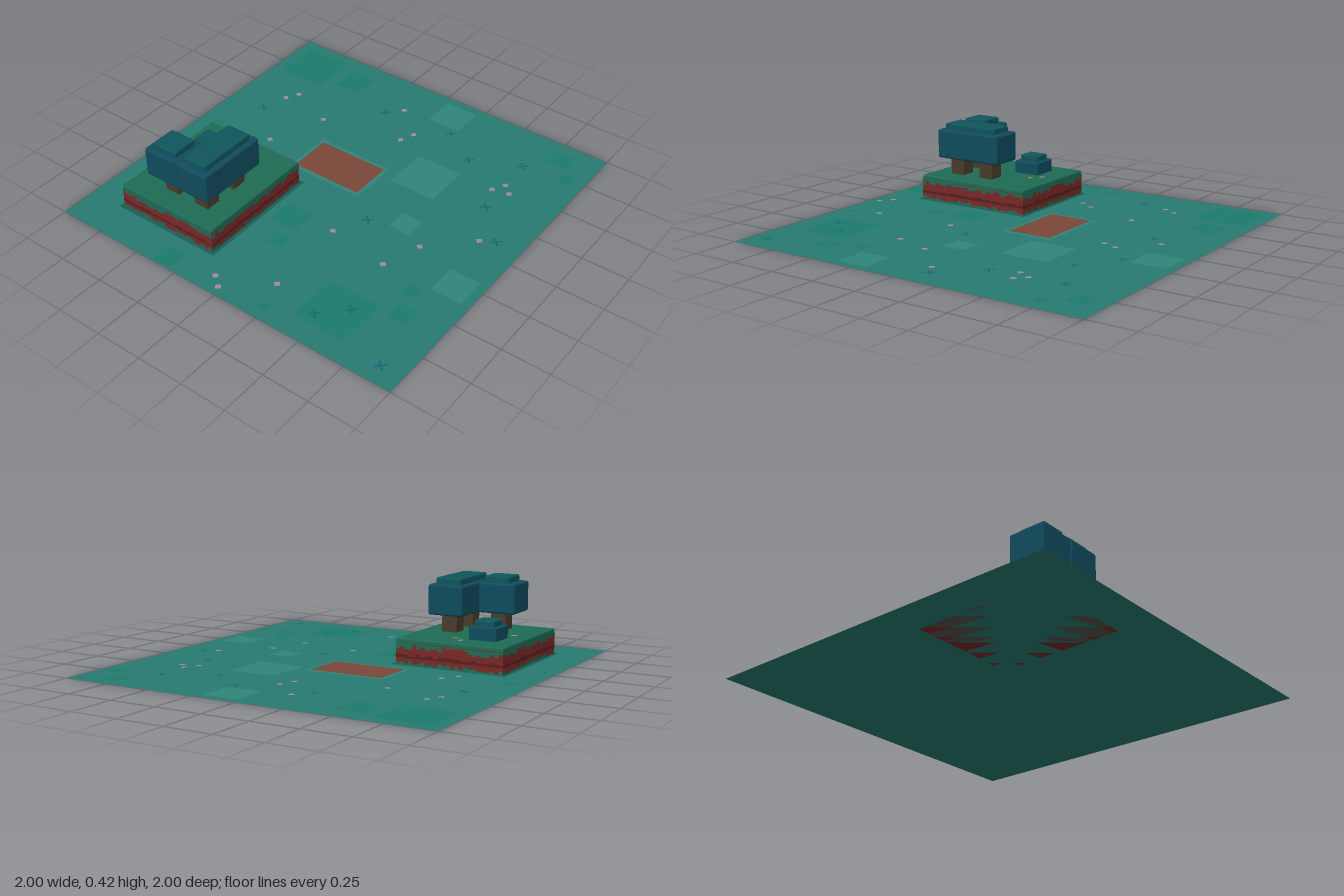
import * as THREE from 'three';
import { RoundedBoxGeometry } from 'three/addons/geometries/RoundedBoxGeometry.js';

const mat = (color, side = THREE.FrontSide) => new THREE.MeshStandardMaterial({ color, side });
const M = {
  ground: mat(0x287b72, THREE.DoubleSide), moss: mat(0x1c7a6c), pale: mat(0x30857a),
  rim: mat(0x338479), soil: mat(0x7a4838), shade: mat(0x1c5f58),
  turf: mat(0x1f6b55), earth: mat(0x7a2826), darkEarth: mat(0x551f20),
  leaf: mat(0x104c5e), leafTop: mat(0x10555c), bark: mat(0x4a3b2b),
  petal: mat(0xa08a98), orange: mat(0xb07a40), sprig: mat(0x1a6670),
};

// Axis-aligned block given by its min / max extents, optionally with softened edges
function block(name, material, [x0, x1], [y0, y1], [z0, z1], r = 0) {
  const w = x1 - x0, h = y1 - y0, d = z1 - z0;
  const geo = r ? new RoundedBoxGeometry(w, h, d, 2, r) : new THREE.BoxGeometry(w, h, d);
  const mesh = new THREE.Mesh(geo, material);
  mesh.name = name;
  mesh.position.set((x0 + x1) / 2, (y0 + y1) / 2, (z0 + z1) / 2);
  return mesh;
}

// Flat patch lying on a surface
function patch(name, material, x, z, w, d, y = 0.001, turn = 0) {
  const mesh = new THREE.Mesh(new THREE.PlaneGeometry(w, d).rotateX(-Math.PI / 2), material);
  mesh.name = name;
  mesh.position.set(x, y, z);
  mesh.rotation.y = turn;
  return mesh;
}

function seeded(seed) {
  return () => (seed = (seed * 16807) % 2147483647) / 2147483647;
}

// Stepped grass edge: straight at yEdge, ragged around yRag
function fringe(length, yEdge, yRag, amount, rand) {
  const shape = new THREE.Shape();
  const n = Math.round(length / 0.024);
  shape.moveTo(-length / 2, yEdge);
  for (let i = 0; i < n; i++) {
    const y = yRag + (rand() - 0.5) * amount;
    shape.lineTo(-length / 2 + (i * length) / n, y);
    shape.lineTo(-length / 2 + ((i + 1) * length) / n, y);
  }
  shape.lineTo(length / 2, yEdge);
  return new THREE.ShapeGeometry(shape);
}

function createGround() {
  const g = new THREE.Group();
  g.name = 'ground';
  g.add(patch('groundSheet', M.ground, 0, 0, 2, 2, 0));
  // mossy and pale squares
  const moss = [[0.8, -0.8, 0.28], [0.81, -0.52, 0.16], [-0.74, 0.52, 0.28], [-0.35, -0.06, 0.15],
    [-0.93, -0.35, 0.11], [-0.58, 0.78, 0.1], [0.87, 0.79, 0.11], [0.03, -0.89, 0.07],
    [-0.43, 0.72, 0.07], [-0.52, 0, 0.09], [0.73, 0.9, 0.07], [-0.92, 0.23, 0.05]];
  for (const [x, z, s] of moss) g.add(patch('mossPatch', M.moss, x, z, s, s));
  const pale = [[0.32, 0.3, 0.26], [0.86, 0.12, 0.19], [-0.28, 0.87, 0.17], [-0.05, 0.43, 0.12]];
  for (const [x, z, s] of pale) g.add(patch('palePatch', M.pale, x, z, s, s));
  // bare earth with its light rim, and the shaded strip round the ledge
  g.add(patch('soilRim', M.rim, 0.12, -0.11, 0.28, 0.44, 0.0015));
  g.add(patch('soilPatch', M.soil, 0.12, -0.11, 0.24, 0.4, 0.003));
  g.add(patch('ledgeShade', M.shade, -0.448, -0.495, 0.71, 0.63, 0.0015));
  // small flowers
  const flowers = [[0.01, -0.61], [0.09, -0.56], [0.45, -0.74], [0.52, -0.7], [0.41, -0.44], [0.75, -0.13],
    [0.51, 0.01], [0.59, 0.04], [-0.95, -0.02], [-0.9, -0.08], [-0.77, 0.19], [-0.31, 0.17],
    [-0.36, 0.51], [-0.15, 0.58], [0.06, 0.79], [0.44, 0.63], [0.51, 0.67], [0.46, 0.72]];
  for (const [x, z] of flowers) g.add(patch('flower', M.petal, x, z, 0.027, 0.027, 0.002, Math.PI / 4));
  // crossed grass sprigs
  const sprigs = [[-0.3, -0.93], [0.3, -0.78], [0.58, 0.4], [0.3, 0.68], [0.7, 0.66], [-0.7, 0.57],
    [-0.82, 0.45], [0.1, 0.86], [-0.9, 0.88], [0.72, 0.2], [-0.14, 0.26], [0.67, -0.2]];
  for (const [x, z] of sprigs) {
    for (const turn of [Math.PI / 4, -Math.PI / 4]) {
      g.add(patch('sprig', M.sprig, x, z, 0.06, 0.012, 0.002, turn));
    }
  }
  return g;
}

function createLedge() {
  const g = new THREE.Group();
  g.name = 'ledge';
  const X = [-0.785, -0.112], Z = [-0.79, -0.2];
  g.add(block('ledgeEarth', M.earth, X, [0, 0.115], Z));
  g.add(block('ledgeTurf', M.turf, X, [0.103, 0.137], Z, 0.008));
  const cx = (X[0] + X[1]) / 2, cz = (Z[0] + Z[1]) / 2;
  const w = X[1] - X[0], d = Z[1] - Z[0];
  const rand = seeded(7);
  // hanging and rising grass plus a dark seam on each of the four sides
  for (let i = 0; i < 4; i++) {
    const len = i % 2 ? d : w, out = (i % 2 ? w : d) / 2 + 0.0015;
    const side = new THREE.Group();
    side.name = 'ledgeSide';
    side.position.set(cx, 0, cz);
    side.rotation.y = (i * Math.PI) / 2;
    // rising edge is traced the other way round; ShapeGeometry fixes the winding
    const layers = [['hangingGrass', M.turf, fringe(len, 0.112, 0.094, 0.03, rand)],
      ['risingGrass', M.turf, fringe(len, 0, 0.014, 0.02, rand)],
      ['darkSeam', M.darkEarth, fringe(len, 0.038, 0.052, 0.014, rand)]];
    for (const [name, material, geo] of layers) {
      const mesh = new THREE.Mesh(geo, material);
      mesh.name = name;
      mesh.position.z = out;
      side.add(mesh);
    }
    g.add(side);
  }
  // flowers on the turf
  for (const [x, z, m] of [[-0.465, -0.695, M.petal], [-0.2, -0.52, M.petal], [-0.245, -0.47, M.orange]]) {
    g.add(patch('ledgeFlower', m, x, z, 0.028, 0.028, 0.1385, Math.PI / 4));
  }
  return g;
}

function createTrees() {
  const g = new THREE.Group();
  g.name = 'trees';
  // front hedge bar and the block behind it, forming an L
  g.add(block('frontCanopy', M.leaf, [-0.727, -0.33], [0.23, 0.39], [-0.46, -0.267], 0.012));
  g.add(block('frontCanopyCap', M.leafTop, [-0.694, -0.367], [0.37, 0.423], [-0.434, -0.296], 0.008));
  g.add(block('backCanopy', M.leaf, [-0.727, -0.53], [0.23, 0.39], [-0.662, -0.46], 0.012));
  g.add(block('backCanopyCap', M.leafTop, [-0.7, -0.56], [0.37, 0.423], [-0.62, -0.482], 0.008));
  for (const [x, z] of [[-0.63, -0.361], [-0.438, -0.361], [-0.63, -0.551]]) {
    g.add(block('trunk', M.bark, [x - 0.042, x + 0.042], [0.13, 0.24], [z - 0.042, z + 0.042]));
  }
  return g;
}

function createBush() {
  const g = new THREE.Group();
  g.name = 'bush';
  g.add(block('bushBody', M.leaf, [-0.396, -0.246], [0.13, 0.206], [-0.692, -0.54], 0.008));
  g.add(block('bushCap', M.leafTop, [-0.376, -0.268], [0.19, 0.236], [-0.67, -0.563], 0.007));
  return g;
}

export function createModel() {
  const model = new THREE.Group();
  model.name = 'gardenTile';
  model.add(createGround(), createLedge(), createTrees(), createBush());
  return model;
}
